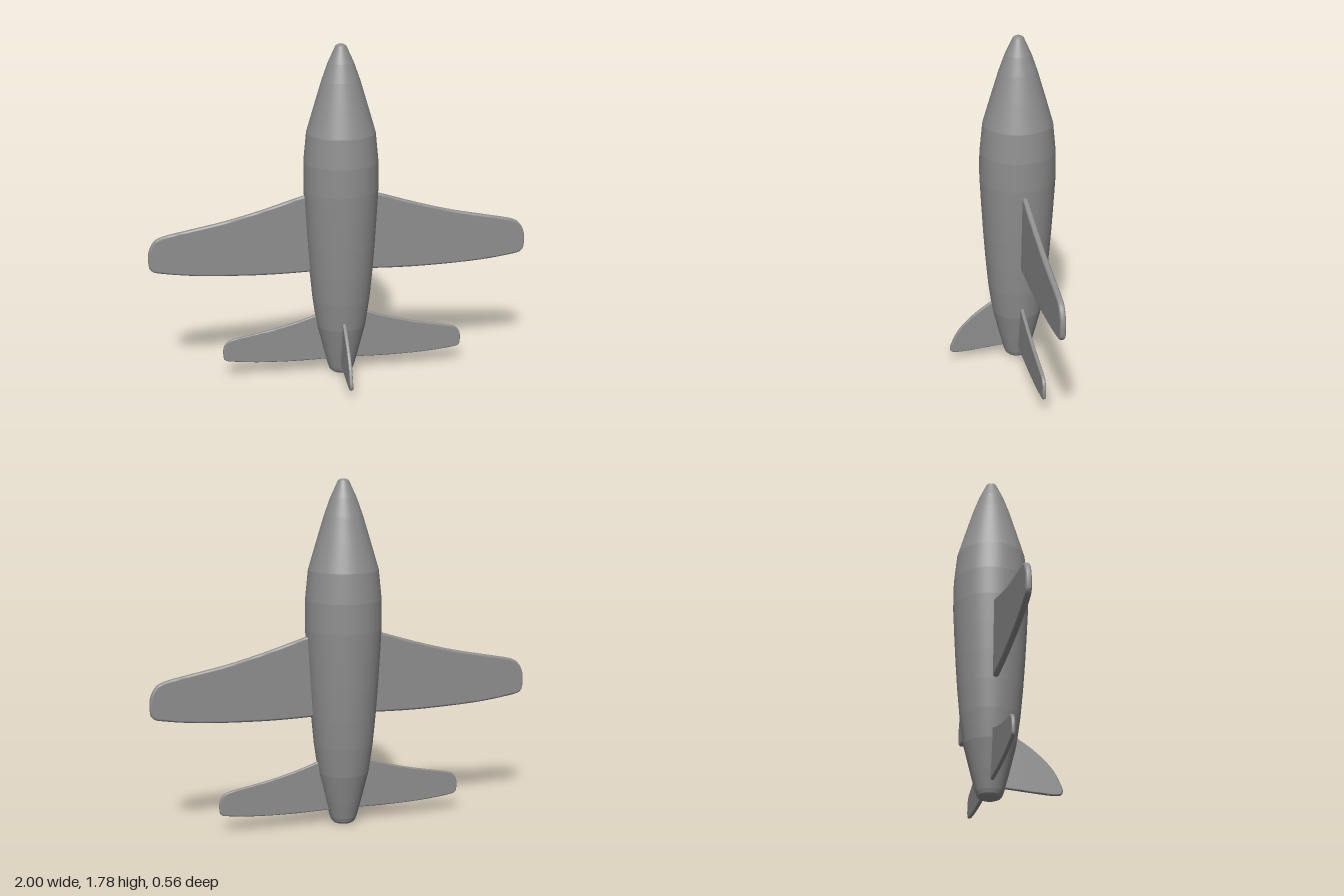
import * as THREE from 'three';
import { mergeGeometries, toCreasedNormals } from 'three/addons/utils/BufferGeometryUtils.js';

const AXIS_X = 0.004; // sideways position of the fuselage axis
const AXIS_Z = -0.084; // depth of the fuselage axis

export function createModel() {
  const model = new THREE.Group();
  const material = new THREE.MeshStandardMaterial({ color: 0x8e8e8e });

  const add = (name, geometry) => {
    const mesh = new THREE.Mesh(geometry, material);
    mesh.name = name;
    model.add(mesh);
    return mesh;
  };

  // Thin plate with flat faces and rounded edges, from a smooth outline closed inside the fuselage
  const plate = (outline, thickness) => {
    const points = outline.map(([x, y]) => new THREE.Vector2(x, y));
    const shape = new THREE.Shape(new THREE.SplineCurve(points).getPoints(56));
    const bevel = thickness * 0.42;
    const extruded = new THREE.ExtrudeGeometry(shape, {
      depth: thickness - 2 * bevel,
      bevelEnabled: true,
      bevelThickness: bevel,
      bevelSize: bevel,
      bevelOffset: -bevel,
      bevelSegments: 4,
    });
    extruded.translate(0, 0, bevel - thickness / 2);
    const geometry = toCreasedNormals(extruded, 0.7);
    // Keep the two broad faces evenly flat
    const { position, normal } = geometry.attributes;
    for (let i = 0; i < position.count; i++) {
      const z = position.getZ(i);
      if (Math.abs(z) > thickness / 2 - 1e-5) normal.setXYZ(i, 0, 0, Math.sign(z));
    }
    return geometry;
  };

  // Fuselage: stacked conical bands, smooth around, standing tail down and nose up
  const profile = [
    [0, 0.004], [0.04, 0.005], [0.052, 0.01], [0.062, 0.02], [0.07, 0.04], [0.094, 0.13],
    [0.131, 0.28], [0.152, 0.43], [0.166, 0.58], [0.177, 0.73], [0.186, 0.88],
    [0.194, 1.03], [0.193, 1.18], [0.178, 1.33], [0.137, 1.47], [0.098, 1.6],
    [0.066, 1.69], [0.034, 1.76], [0.027, 1.775], [0.014, 1.783], [0, 1.784],
  ];
  const bands = profile.slice(1).map(([top, y1], i) => {
    const [bottom, y0] = profile[i];
    return new THREE.CylinderGeometry(top, bottom, y1 - y0, 64, 1, true).translate(0, (y0 + y1) / 2, 0);
  });
  add('fuselage', mergeGeometries(bands)).position.set(AXIS_X, 0, AXIS_Z);

  // Main wings and tailplanes, one per side
  const wing = [
    [0.06, 1.03], [0.195, 0.998], [0.4, 0.935], [0.6, 0.882], [0.8, 0.842], [0.925, 0.815],
    [0.972, 0.785], [0.997, 0.73], [0.998, 0.665], [0.985, 0.635], [0.94, 0.618],
    [0.75, 0.593], [0.5, 0.58], [0.3, 0.578], [0.06, 0.585],
  ];
  const tailplane = [
    [0.03, 0.375], [0.12, 0.343], [0.25, 0.3], [0.38, 0.266], [0.5, 0.242], [0.595, 0.223],
    [0.628, 0.203], [0.644, 0.17], [0.644, 0.125], [0.635, 0.106], [0.6, 0.096],
    [0.45, 0.081], [0.25, 0.075], [0.03, 0.079],
  ];
  for (const [side, sign] of [['left', 1], ['right', -1]]) {
    const mirrored = (outline) => outline.map(([x, y]) => [x * sign, y]);
    add(side + 'Wing', plate(mirrored(wing), 0.03)).position.z = AXIS_Z;
    add(side + 'Tailplane', plate(mirrored(tailplane), 0.019)).position.set(0.016, 0, AXIS_Z);
  }

  // Fin: outline in (z, y), turned to point forward
  const fin = [
    [-0.03, 0.375], [0.055, 0.325], [0.13, 0.273], [0.195, 0.215], [0.24, 0.16],
    [0.27, 0.1], [0.28, 0.07], [0.274, 0.048], [0.25, 0.041], [0.2, 0.041],
    [0.1, 0.05], [-0.03, 0.062],
  ].map(([z, y]) => [-z, y]);
  add('fin', plate(fin, 0.019)).rotation.y = Math.PI / 2;

  return model;
}
